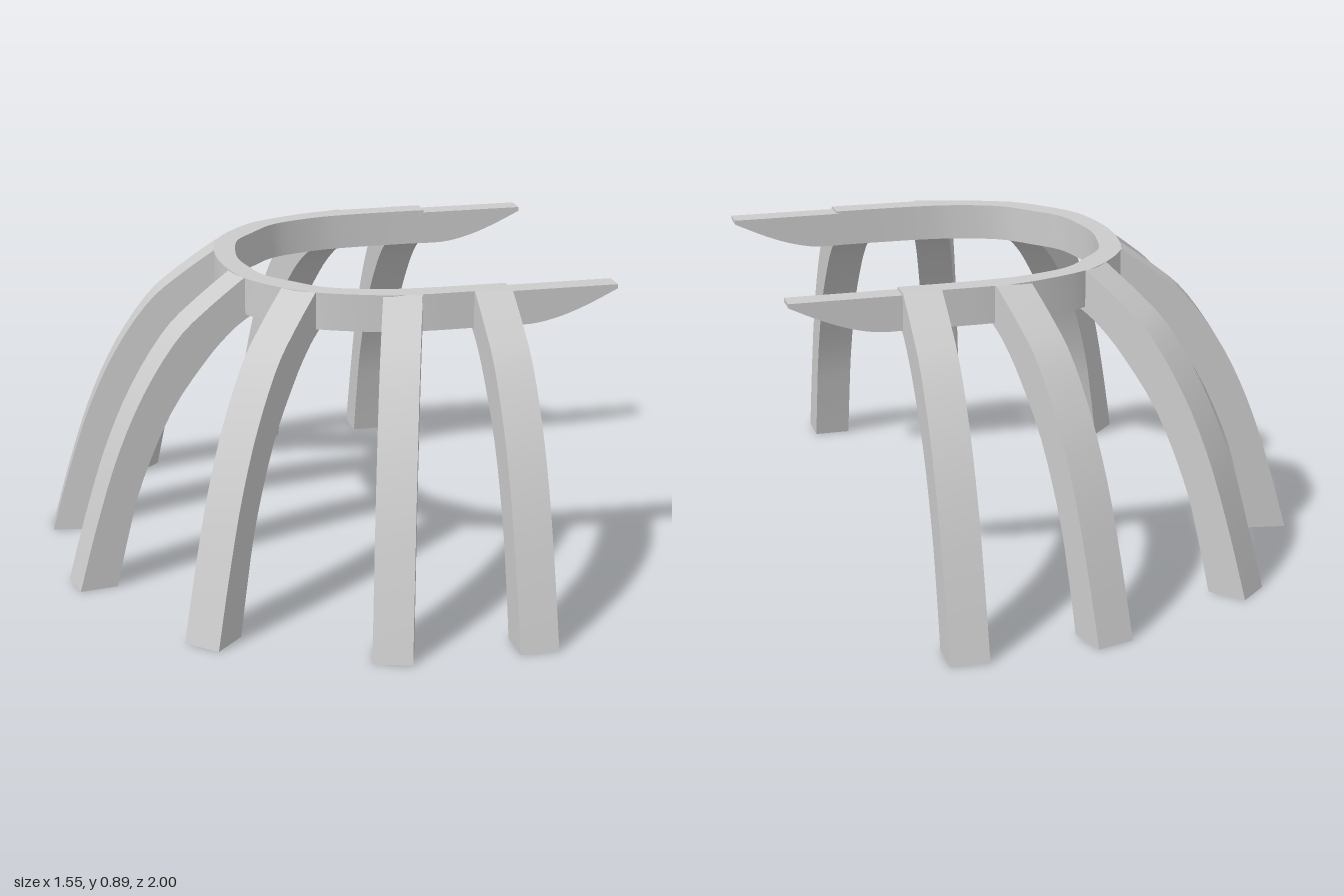
import * as THREE from 'three';
import { toCreasedNormals } from 'three/addons/utils/BufferGeometryUtils.js';

const material = new THREE.MeshStandardMaterial({ color: 0xcccccc });
const WIDTH = 0.11, TOP = 0.887, BOTTOM = 0.78;

const vectors = (points) => points.map(([x, y]) => new THREE.Vector2(x, y));
const smooth = (points, n) => new THREE.SplineCurve(vectors(points)).getPoints(n);

function extrude(points, depth) {
  const geometry = new THREE.ExtrudeGeometry(new THREE.Shape(points), { depth, bevelEnabled: false });
  return toCreasedNormals(geometry, Math.PI / 6);
}

function addMesh(group, name, geometry) {
  const mesh = new THREE.Mesh(geometry, material);
  mesh.name = name;
  group.add(mesh);
  return mesh;
}

// Mirrors half an outline (open end to middle of the bend) into a full U
const mirrorHalf = (half) => [...half, ...half.slice(0, -1).reverse().map(([x, z]) => [x, -z])];

function createRing() {
  const outer = mirrorHalf([[0.46, 0.495], [0.32, 0.495], [0.2, 0.493], [0.085, 0.477],
    [-0.085, 0.41], [-0.18, 0.325], [-0.25, 0.22], [-0.278, 0.11], [-0.287, 0]]);
  const inner = mirrorHalf([[0.46, 0.432], [0.32, 0.432], [0.2, 0.428], [0.095, 0.414],
    [-0.04, 0.366], [-0.125, 0.28], [-0.188, 0.2], [-0.215, 0.1], [-0.227, 0]]);
  const outline = [...smooth(outer, 64), ...smooth(inner, 64).reverse()];
  const geometry = extrude(outline, TOP - BOTTOM);
  geometry.rotateX(Math.PI / 2).translate(0, TOP, 0);
  return geometry;
}

// Side profile of a curved leg: x runs outward from the ring, y is height
function createLeg(length) {
  const s = length / 0.5;
  const scale = (points) => points.map(([x, y]) => [x * s, y]);
  const outer = smooth(scale([[0, TOP], [0.105, 0.81], [0.2, 0.725], [0.3, 0.575],
    [0.38, 0.4], [0.445, 0.2], [0.5, 0]]), 20);
  const inner = smooth(scale([[0.39, 0], [0.355, 0.15], [0.31, 0.31], [0.22, 0.51],
    [0.11, 0.66], [0.03, 0.74], [-0.03, BOTTOM]]), 20);
  const geometry = extrude([...outer, ...inner, new THREE.Vector2(-0.03, TOP)], WIDTH);
  return geometry.translate(0, 0, -WIDTH / 2);
}

// Tapered end of the ring with a curved underside
function createTip() {
  const under = smooth([[0.45, 0.78], [0.53, 0.781], [0.61, 0.798], [0.69, 0.828], [0.775, 0.868]], 14);
  return extrude([...under, ...vectors([[0.775, 0.88], [0.45, 0.88]])], 0.064);
}

export function createModel() {
  const group = new THREE.Group();
  group.name = 'archedStand';
  addMesh(group, 'ring', createRing());

  // Root and foot of each leg on the +z side, seen from above
  const legs = [
    ['endLeg', [0.405, 0.498], [0.405, 1]],
    ['sideLeg', [0.145, 0.487], [-0.005, 0.982]],
    ['cornerLeg', [-0.128, 0.375], [-0.486, 0.758]],
    ['bendLeg', [-0.263, 0.167], [-0.768, 0.25]],
  ];
  for (const side of [1, -1]) {
    const label = side > 0 ? 'Front' : 'Back';
    for (const [name, root, foot] of legs) {
      const dx = foot[0] - root[0], dz = (foot[1] - root[1]) * side;
      const leg = addMesh(group, name + label, createLeg(Math.hypot(dx, dz)));
      leg.position.set(root[0], 0, root[1] * side);
      leg.rotation.y = Math.atan2(-dz, dx);
    }
    const tip = addMesh(group, 'tip' + label, createTip());
    tip.position.z = side > 0 ? 0.43 : -0.494;
  }
  return group;
}
